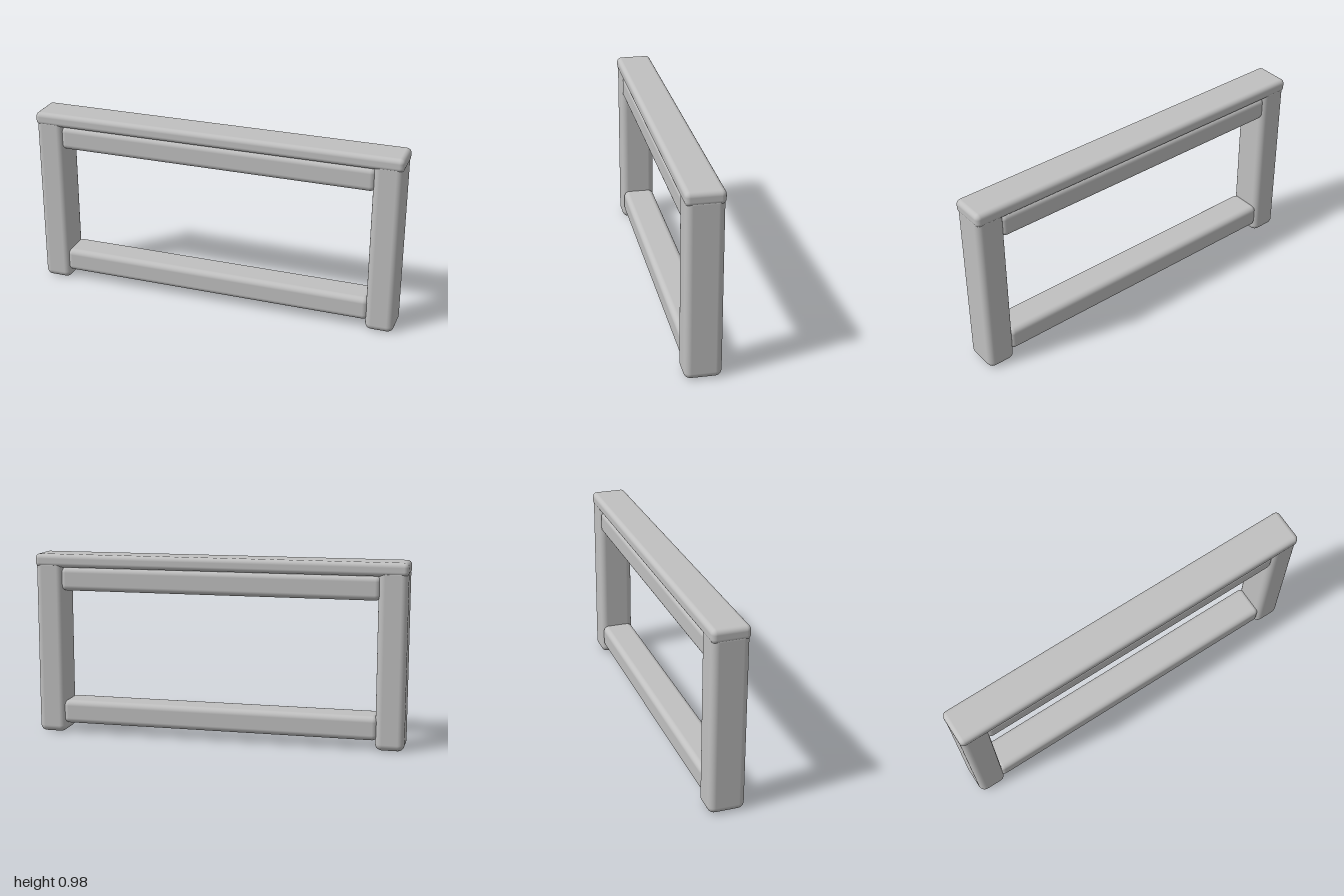
import * as THREE from 'three';
import { RoundedBoxGeometry } from 'three/addons/geometries/RoundedBoxGeometry.js';

export function createModel() {
  const group = new THREE.Group();
  group.name = 'railFrame';
  const grey = new THREE.MeshStandardMaterial({ color: 0xc0c0c0 });
  grey.name = 'grey';

  // Rounded bar spanning y0..y1, centred on x and z = 0
  function bar(name, width, y0, y1, depth, radius, x = 0) {
    const mesh = new THREE.Mesh(new RoundedBoxGeometry(width, y1 - y0, depth, 4, radius), grey);
    mesh.name = name;
    mesh.position.set(x, (y0 + y1) / 2, 0);
    group.add(mesh);
  }

  // Top cap
  bar('topCap', 2, 0.908, 0.98, 0.194, 0.025);

  // End posts, let into the cap
  bar('leftPost', 0.152, 0, 0.95, 0.188, 0.035, 0.922);
  bar('rightPost', 0.152, 0, 0.95, 0.188, 0.035, -0.922);

  // Cross rails, running into the posts
  bar('upperRail', 1.72, 0.782, 0.91, 0.175, 0.03);
  bar('lowerRail', 1.72, 0.05, 0.178, 0.175, 0.03);

  return group;
}
